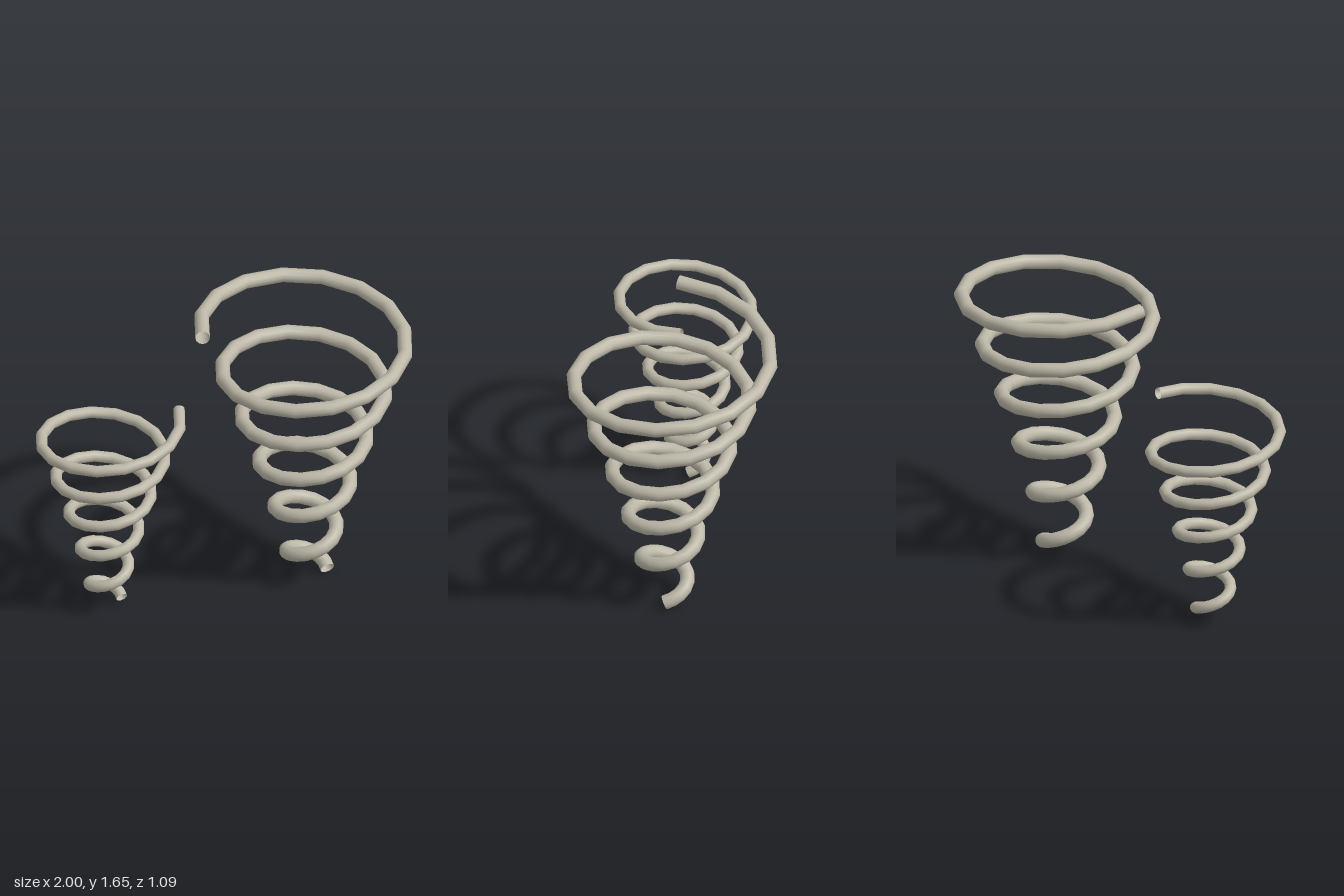
import * as THREE from 'three';

const STEPS_PER_TURN = 16;
const SIDES = 12;

// Conical helix, rising and widening, sampled evenly by angle
class ConicalHelix extends THREE.Curve {
  constructor(s) {
    super();
    this.s = s;
    this.steps = s.turns * STEPS_PER_TURN;
  }
  getUtoTmapping(u) {
    return u;
  }
  getPoint(t, target = new THREE.Vector3()) {
    const { x, z, y0, y1, r0, r1, turns } = this.s;
    const a = t * turns * Math.PI * 2;
    const r = r0 + (r1 - r0) * Math.pow(t, 1.35);
    return target.set(x + r * Math.cos(a), y0 + (y1 - y0) * t, z - r * Math.sin(a));
  }
  // Direction from the neighbouring steps, so the joints are mitred
  getTangent(t, target = new THREE.Vector3()) {
    const d = 1 / this.steps;
    const before = this.getPoint(Math.max(0, t - d));
    const after = this.getPoint(Math.min(1, t + d));
    return target.copy(after).sub(before).normalize();
  }
}

export function createModel() {
  const group = new THREE.Group();
  group.name = 'conicalSprings';

  // Open-ended tubes, so the inside is visible
  const metal = new THREE.MeshStandardMaterial({ color: 0xbcb7a7, side: THREE.DoubleSide });
  metal.name = 'warm grey metal';

  const springs = [
    { name: 'largeSpring', x: 0.445, z: 0.026, y0: 0.037, y1: 1.612, r0: 0.1, r1: 0.565, turns: 5.5, wire: 0.038 },
    { name: 'smallSpring', x: -0.63, z: 0.023, y0: 0.046, y1: 1.178, r0: 0.08, r1: 0.385, turns: 5, wire: 0.03 },
  ];
  for (const s of springs) {
    const path = new ConicalHelix(s);
    const mesh = new THREE.Mesh(new THREE.TubeGeometry(path, path.steps, s.wire, SIDES, false), metal);
    mesh.name = s.name;
    group.add(mesh);
  }
  return group;
}
